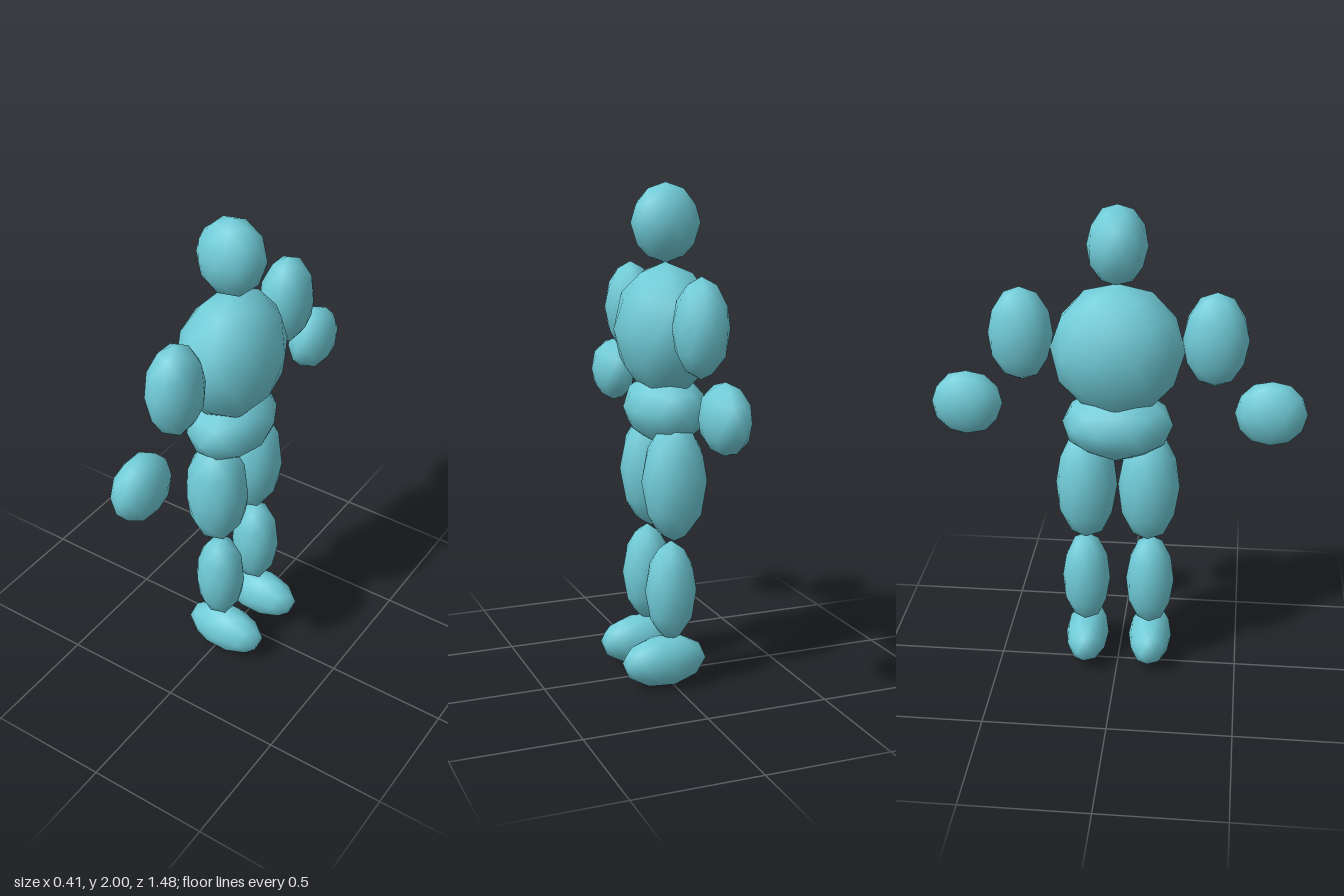
import * as THREE from 'three';

// Coarse ball with a corner at the top, shared by every body part
function unitBall() {
  const ball = new THREE.IcosahedronGeometry(1, 1);
  ball.rotateZ(-Math.atan(2 / (1 + Math.sqrt(5))));
  return ball;
}

export function createModel() {
  const group = new THREE.Group();
  const skin = new THREE.MeshStandardMaterial({ color: 0x70ccd8 });
  skin.name = 'turquoise';
  const ball = unitBall();

  // Adds one ellipsoid: centre and half sizes as [x, y, z]
  function addPart(name, centre, half) {
    const geometry = ball.clone();
    geometry.scale(half[0] / 0.951, half[1], half[2]);
    const mesh = new THREE.Mesh(geometry, skin);
    mesh.name = name;
    mesh.position.set(...centre);
    group.add(mesh);
  }

  // Trunk and head
  addPart('head', [-0.022, 1.845, 0], [0.132, 0.155, 0.117]);
  addPart('chest', [-0.02, 1.43, 0], [0.186, 0.265, 0.262]);
  addPart('hips', [-0.02, 1.12, 0], [0.153, 0.145, 0.22]);

  // Limbs, one set on each side; the toes point along +x
  for (const [side, s] of [['Near', 1], ['Far', -1]]) {
    addPart('upperArm' + side, [-0.013, 1.48, 0.377 * s], [0.1, 0.19, 0.128]);
    addPart('forearm' + side, [-0.013, 1.183, 0.6 * s], [0.085, 0.134, 0.142]);
    addPart('thigh' + side, [-0.01, 0.845, 0.126 * s], [0.124, 0.245, 0.125]);
    addPart('shin' + side, [0.007, 0.4, 0.133 * s], [0.098, 0.207, 0.1]);
    addPart('foot' + side, [0.035, 0.108, 0.134 * s], [0.169, 0.106, 0.091]);
  }
  return group;
}
